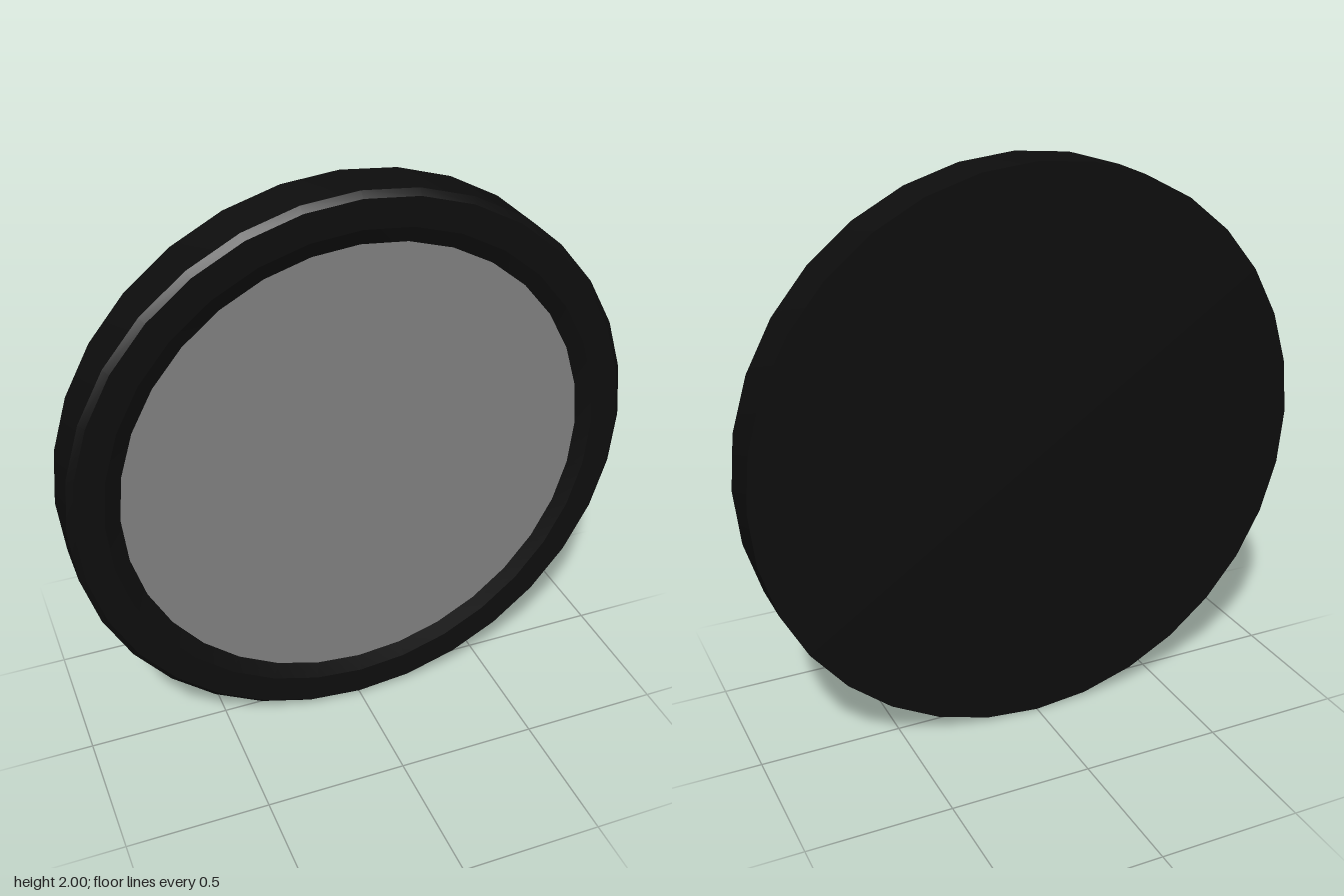
import * as THREE from 'three';
import { toCreasedNormals } from 'three/addons/utils/BufferGeometryUtils.js';

const SIDES = 32;
const PANEL_RADIUS = 0.825;
const PANEL_Z = 0.08;

export function createModel() {
  const group = new THREE.Group();
  group.name = 'roundPanel';

  // Casing: flat back, straight side, bevelled front edge, rim sloping in to the panel
  const profile = [
    [0, -0.1], [1, -0.1], [1, 0.08], [0.98, 0.1], [0.88, 0.1], [PANEL_RADIUS, PANEL_Z],
  ].map(([r, y]) => new THREE.Vector2(r, y));
  const casingGeometry = new THREE.LatheGeometry(profile, SIDES).rotateX(Math.PI / 2);
  const casing = new THREE.Mesh(
    toCreasedNormals(casingGeometry, Math.PI / 12),
    new THREE.MeshStandardMaterial({ color: 0x0d0d0d })
  );
  casing.name = 'casing';

  // Inset front panel
  const panel = new THREE.Mesh(
    new THREE.CircleGeometry(PANEL_RADIUS, SIDES),
    new THREE.MeshStandardMaterial({ color: 0x808080 })
  );
  panel.name = 'frontPanel';
  panel.position.z = PANEL_Z;

  group.add(casing, panel);
  group.position.y = 1;

  const model = new THREE.Group();
  model.name = 'model';
  model.add(group);
  return model;
}
